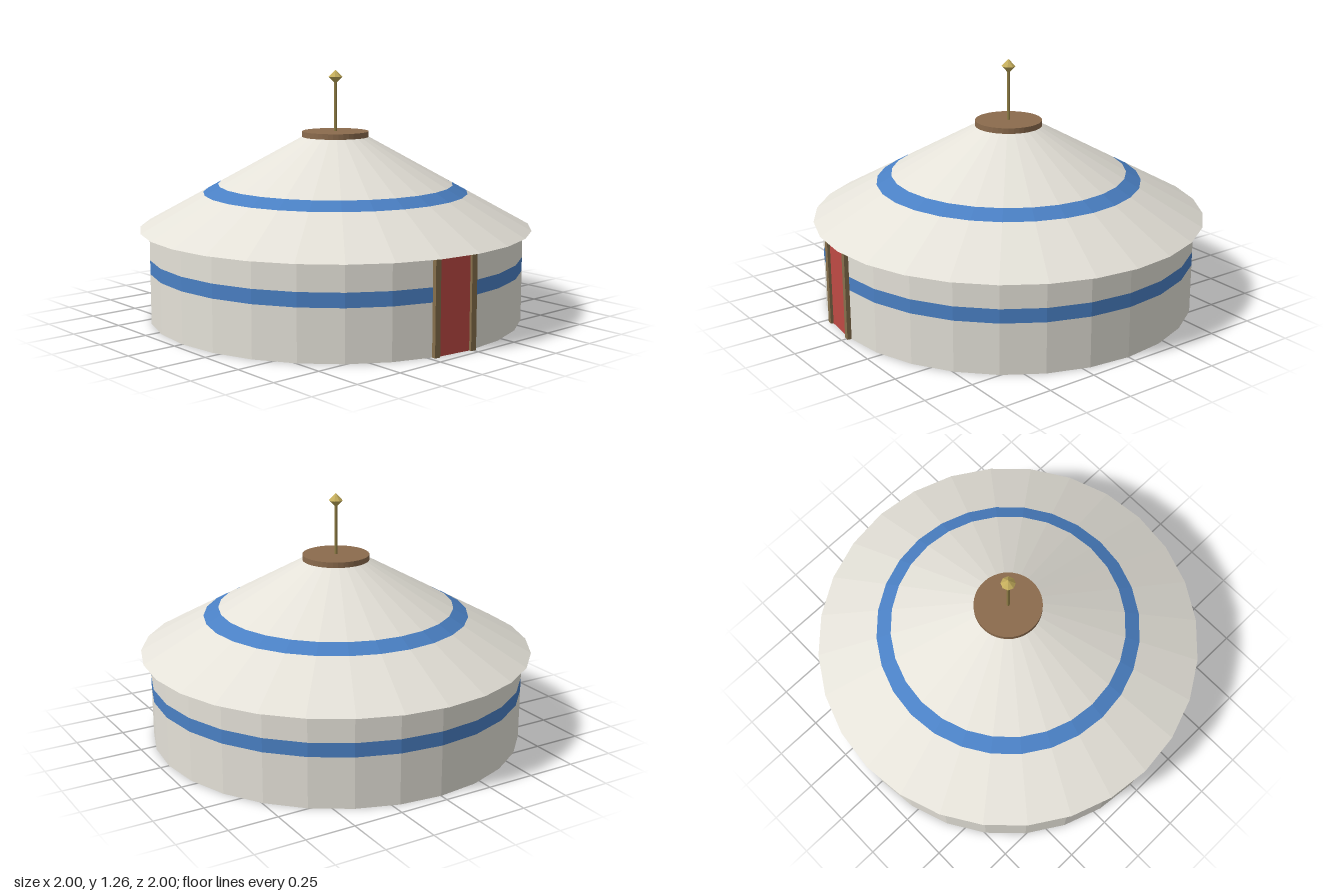
import * as THREE from 'three';

const SIDES = 28;
const STEP = (Math.PI * 2) / SIDES;
const WALL_R = 0.955;
const EAVE_Y = 0.46;
const CROWN_Y = 0.92;

const mat = (color) =>
  new THREE.MeshStandardMaterial({ color, flatShading: true, side: THREE.DoubleSide });

export function createModel() {
  const model = new THREE.Group();
  const canvas = mat(0xe4e1d8);
  const blue = mat(0x4a80c4);
  const wood = mat(0x8b6b4d);
  const postWood = mat(0x86704c);
  const red = mat(0xbf4a44);
  const brass = mat(0xc4ad5c);
  const poleBrass = mat(0x8f7d45);

  function add(parent, name, geometry, material, x = 0, y = 0, z = 0) {
    const mesh = new THREE.Mesh(geometry, material);
    mesh.name = name;
    mesh.position.set(x, y, z);
    parent.add(mesh);
    return mesh;
  }

  // One open ring of facets between two heights
  function band(parent, name, material, y0, y1, r0, r1, start = 0, facets = SIDES) {
    const geometry = new THREE.CylinderGeometry(r1, r0, y1 - y0, facets, 1, true, start, facets * STEP);
    add(parent, name, geometry, material, 0, (y0 + y1) / 2, 0);
  }

  // Wall: three stacked bands, leaving one facet open for the door
  const wall = new THREE.Group();
  wall.name = 'wall';
  model.add(wall);
  const wallBands = [
    ['lowerWall', canvas, 0, 0.255],
    ['wallStripe', blue, 0.255, 0.325],
    ['upperWall', canvas, 0.325, EAVE_Y],
  ];
  for (const [name, material, y0, y1] of wallBands) {
    band(wall, name, material, y0, y1, WALL_R, WALL_R, Math.PI / 2, SIDES - 1);
  }

  // Roof: conical canvas with a stripe, overhanging the wall
  const roof = new THREE.Group();
  roof.name = 'roof';
  model.add(roof);
  const roofRadius = (y) => THREE.MathUtils.mapLinear(y, EAVE_Y, CROWN_Y, 1, 0.165);
  const roofBands = [
    ['lowerRoof', canvas, EAVE_Y, 0.638],
    ['roofStripe', blue, 0.638, 0.68],
    ['upperRoof', canvas, 0.68, CROWN_Y],
  ];
  for (const [name, material, y0, y1] of roofBands) {
    band(roof, name, material, y0, y1, roofRadius(y0), roofRadius(y1));
  }

  // Door panel in the open facet, with a post at each of its edges
  const door = new THREE.Group();
  door.name = 'door';
  door.rotation.y = -STEP / 2;
  model.add(door);
  const apothem = WALL_R * Math.cos(STEP / 2);
  const halfWidth = WALL_R * Math.sin(STEP / 2);
  add(door, 'doorPanel', new THREE.BoxGeometry(0.008, EAVE_Y, halfWidth * 2), red, apothem, EAVE_Y / 2, 0);
  for (const side of [-1, 1]) {
    add(door, 'doorPost', new THREE.BoxGeometry(0.03, EAVE_Y, 0.03), postWood,
      apothem + 0.003, EAVE_Y / 2, side * halfWidth);
  }

  // Crown disc, pole and finial
  add(model, 'crown', new THREE.CylinderGeometry(0.17, 0.17, 0.028, 40), wood, 0, 0.932, 0);
  add(model, 'pole', new THREE.CylinderGeometry(0.008, 0.008, 0.27, 8), poleBrass, 0, 1.075, 0);
  add(model, 'finial', new THREE.SphereGeometry(0.036, 8, 2), brass, 0, 1.222, 0);

  return model;
}
